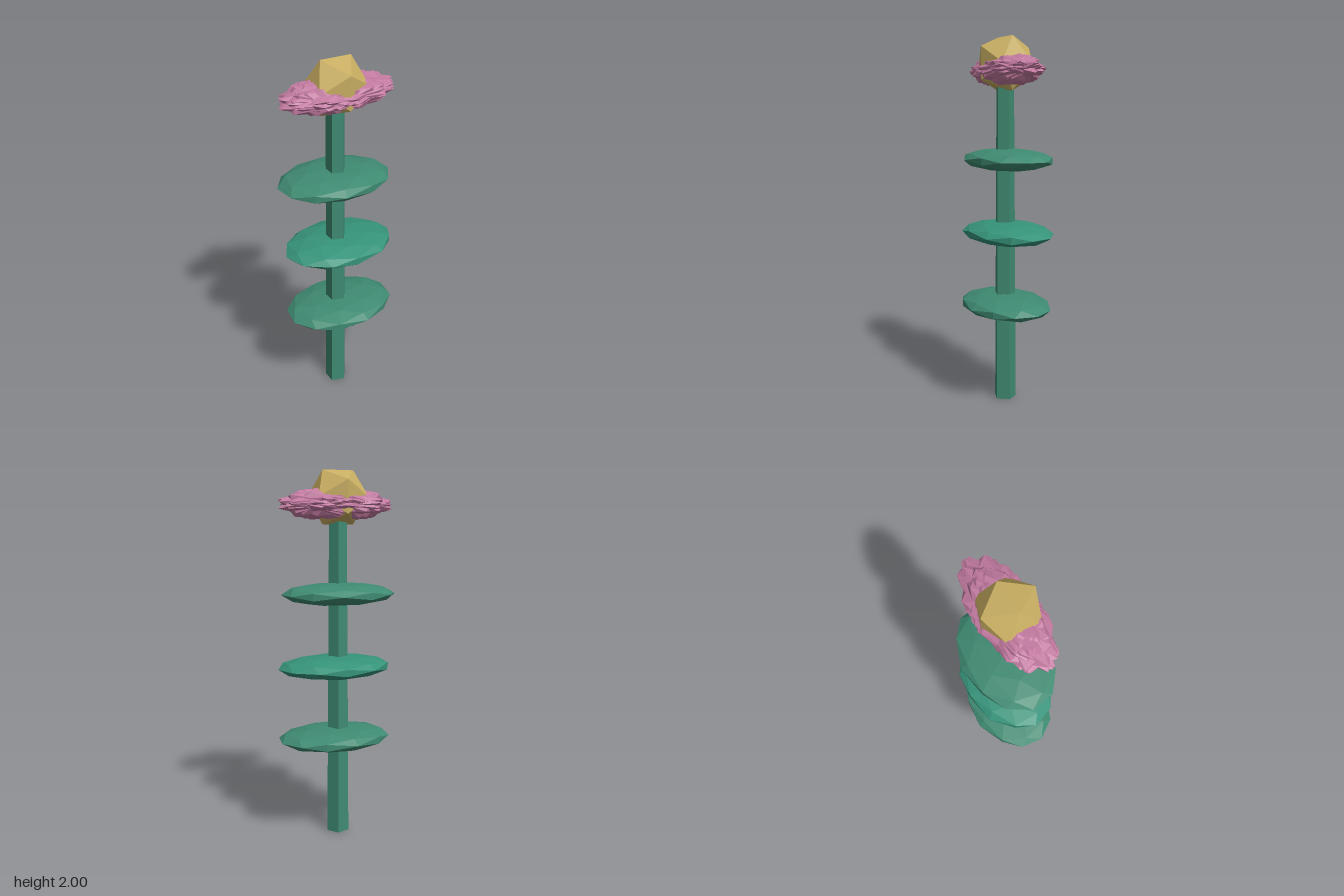
import * as THREE from 'three';

const CX = -0.012, CZ = 0.006;

function makeMaterial(color) {
  const m = new THREE.MeshStandardMaterial({ flatShading: true });
  m.color.set(color);
  return m;
}

// Faceted ball, turned first and then stretched to the given half sizes
function facetedBall(detail, turn, half) {
  const g = new THREE.IcosahedronGeometry(1, detail);
  g.applyMatrix4(new THREE.Matrix4().makeRotationFromEuler(new THREE.Euler(...turn)));
  g.scale(...half);
  g.computeVertexNormals();
  return g;
}

function addPart(parent, name, geometry, material, x, y, z) {
  const mesh = new THREE.Mesh(geometry, material);
  mesh.name = name;
  mesh.position.set(x, y, z);
  parent.add(mesh);
  return mesh;
}

export function createModel() {
  const flower = new THREE.Group();
  flower.name = 'flower';
  const stemMat = makeMaterial(0x3f8a72);
  const leafMat = makeMaterial(0x3f8a72);
  const brightLeafMat = makeMaterial(0x36937a);
  const petalMat = makeMaterial(0xc27aa0);
  const heartMat = makeMaterial(0xc8ae62);

  // Five-sided tapering stem, one corner towards +x
  const stem = new THREE.CylinderGeometry(0.05, 0.063, 1.8, 5, 1, false, Math.PI / 2);
  addPart(flower, 'stem', stem, stemMat, CX, 0.9, 0.008);

  // Three flat oval leaf discs
  const leaves = [
    { x: 0.006, y: 0.548, z: 0.015, turn: 0.15, mat: leafMat },
    { x: 0.008, y: 0.95, z: 0.002, turn: 0.5, mat: brightLeafMat },
    { x: -0.012, y: 1.348, z: -0.008, turn: -0.2, mat: leafMat },
  ];
  for (const l of leaves) {
    addPart(flower, 'leaf', facetedBall(1, [0, l.turn, 0], [0.32, 0.062, 0.232]), l.mat, l.x, l.y, l.z);
  }

  // Spiky oval of petals: interlocking faceted bodies, each turned differently
  const petals = new THREE.Group();
  petals.name = 'petals';
  for (let i = 0; i < 12; i++) {
    const turn = [i * 0.55, i * 1.37, i * 0.83];
    addPart(petals, 'petal', facetedBall(0, turn, [0.338, 0.089, 0.158]), petalMat, -0.003, 1.822, CZ);
  }
  flower.add(petals);

  // Golden heart, long edge on top running along x
  addPart(flower, 'flowerHeart', new THREE.IcosahedronGeometry(0.1665, 0), heartMat, CX, 1.8584, CZ);

  return flower;
}
